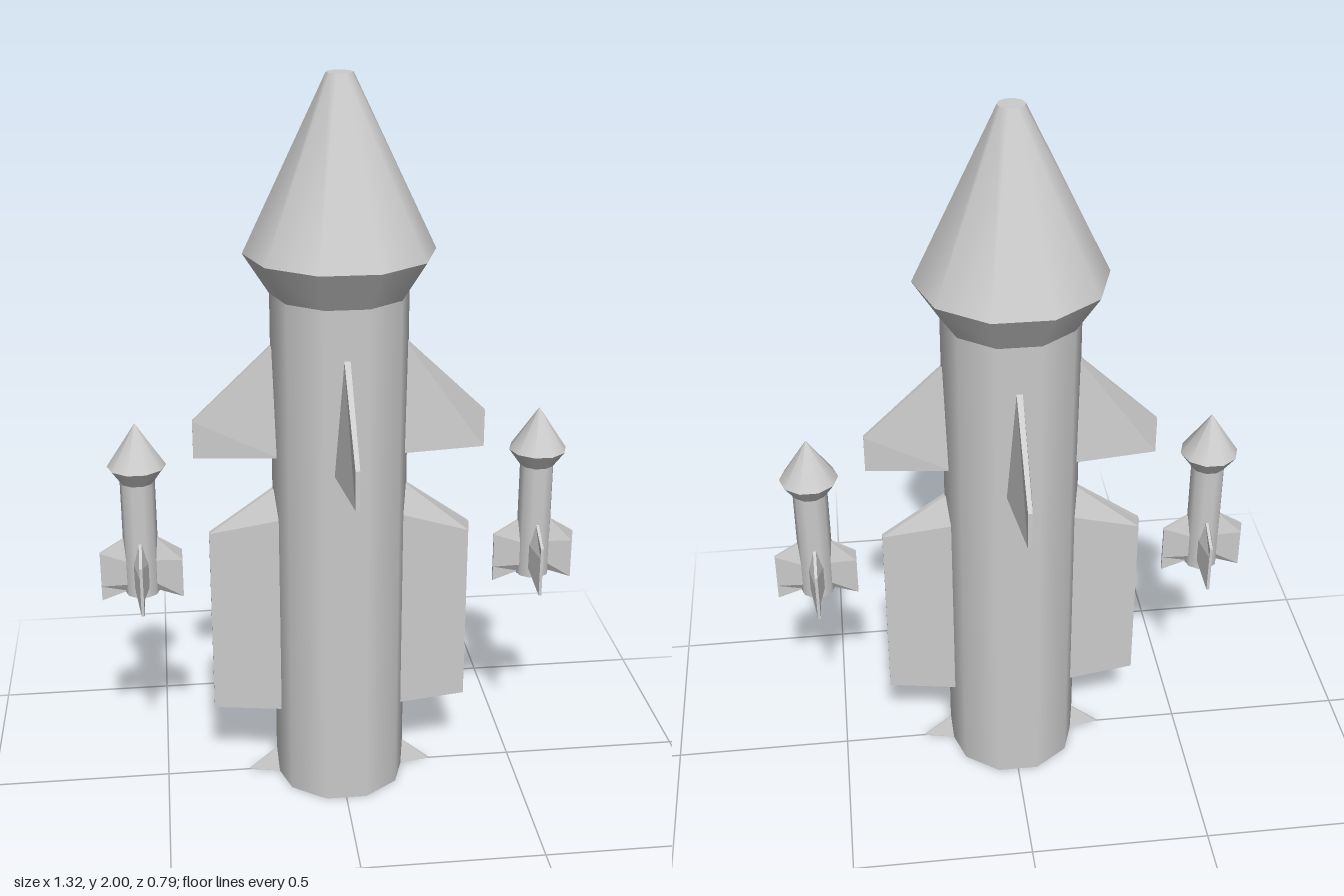
import * as THREE from 'three';
import { mergeGeometries } from 'three/addons/utils/BufferGeometryUtils.js';

const grey = new THREE.MeshStandardMaterial({ color: 0xcccccc });
const greyFlat = new THREE.MeshStandardMaterial({ color: 0xcccccc, flatShading: true });

// Ten-sided turned shape; each band is separate so its rims stay sharp.
function turned(name, profile) {
  const bands = [];
  for (let i = 0; i < profile.length - 1; i++) {
    const pts = [profile[i], profile[i + 1]].map(([r, y]) => new THREE.Vector2(r, y));
    bands.push(new THREE.LatheGeometry(pts, 10, Math.PI / 2));
  }
  const mesh = new THREE.Mesh(mergeGeometries(bands), grey);
  mesh.name = name;
  return mesh;
}

// Tapered fin along +x. Stations run from top to bottom:
// [root y, root half thickness, tip y, tip half thickness]
function finGeometry(rootX, tipX, stations) {
  const pos = [], index = [];
  for (const [ry, rt, ty, tt] of stations) {
    pos.push(rootX, ry, rt, tipX, ty, tt, tipX, ty, -tt, rootX, ry, -rt);
  }
  for (let s = 0; s < stations.length - 1; s++) {
    for (let k = 0; k < 4; k++) {
      const a = s * 4 + k, b = s * 4 + (k + 1) % 4;
      index.push(a, a + 4, b + 4, a, b + 4, b);
    }
  }
  const e = (stations.length - 1) * 4;
  index.push(0, 1, 2, 0, 2, 3, e, e + 2, e + 1, e, e + 3, e + 2);
  const geo = new THREE.BufferGeometry();
  geo.setAttribute('position', new THREE.Float32BufferAttribute(pos, 3));
  geo.setIndex(index);
  geo.computeVertexNormals();
  return geo;
}

// Copies of one fin spaced evenly around the axis
function finRing(name, count, geo) {
  const ring = new THREE.Group();
  ring.name = name + 's';
  for (let i = 0; i < count; i++) {
    const fin = new THREE.Mesh(geo, greyFlat);
    fin.name = name;
    fin.rotation.y = (i * 2 * Math.PI) / count;
    ring.add(fin);
  }
  return ring;
}

function createPod(name, x) {
  const pod = new THREE.Group();
  pod.name = name;
  pod.position.x = x;
  pod.add(turned('podBody', [[0, 0.62], [0.039, 0.62], [0.039, 0.6], [0.047, 0.6], [0.047, 0.93]]));
  pod.add(turned('podNose', [[0.047, 0.93], [0.079, 0.975], [0, 1.095]]));
  pod.add(finRing('podFin', 4, finGeometry(0.04, 0.112, [
    [0.765, 0.004, 0.72, 0.004],
    [0.7, 0.02, 0.69, 0.004],
    [0.63, 0.02, 0.62, 0.004],
    [0.605, 0.006, 0.578, 0.004],
  ])));
  return pod;
}

export function createModel() {
  const rocket = new THREE.Group();
  rocket.name = 'rocket';

  // Hull with recessed exhaust, then flared nose cone
  rocket.add(turned('hull', [[0, 0.07], [0.158, 0.07], [0.158, 0], [0.184, 0], [0.184, 1.44]]));
  rocket.add(turned('noseCone', [[0.184, 1.44], [0.252, 1.547], [0.035, 2], [0, 2]]));

  // Four upper fins
  rocket.add(finRing('upperFin', 4, finGeometry(0.165, 0.395, [
    [1.315, 0.008, 1.095, 0.006],
    [0.99, 0.034, 0.99, 0.006],
  ])));

  // Two long side fins
  rocket.add(finRing('sideFin', 2, finGeometry(0.17, 0.36, [
    [0.9, 0.008, 0.765, 0.008],
    [0.81, 0.04, 0.74, 0.008],
    [0.22, 0.04, 0.22, 0.008],
  ])));

  // Two small tail spikes
  rocket.add(finRing('tailSpike', 2, finGeometry(0.175, 0.263, [
    [0.075, 0.002, 0.003, 0.002],
    [0, 0.02, 0, 0.002],
  ])));

  // Small rockets flying alongside
  rocket.add(createPod('leftPod', 0.547), createPod('rightPod', -0.547));
  return rocket;
}
